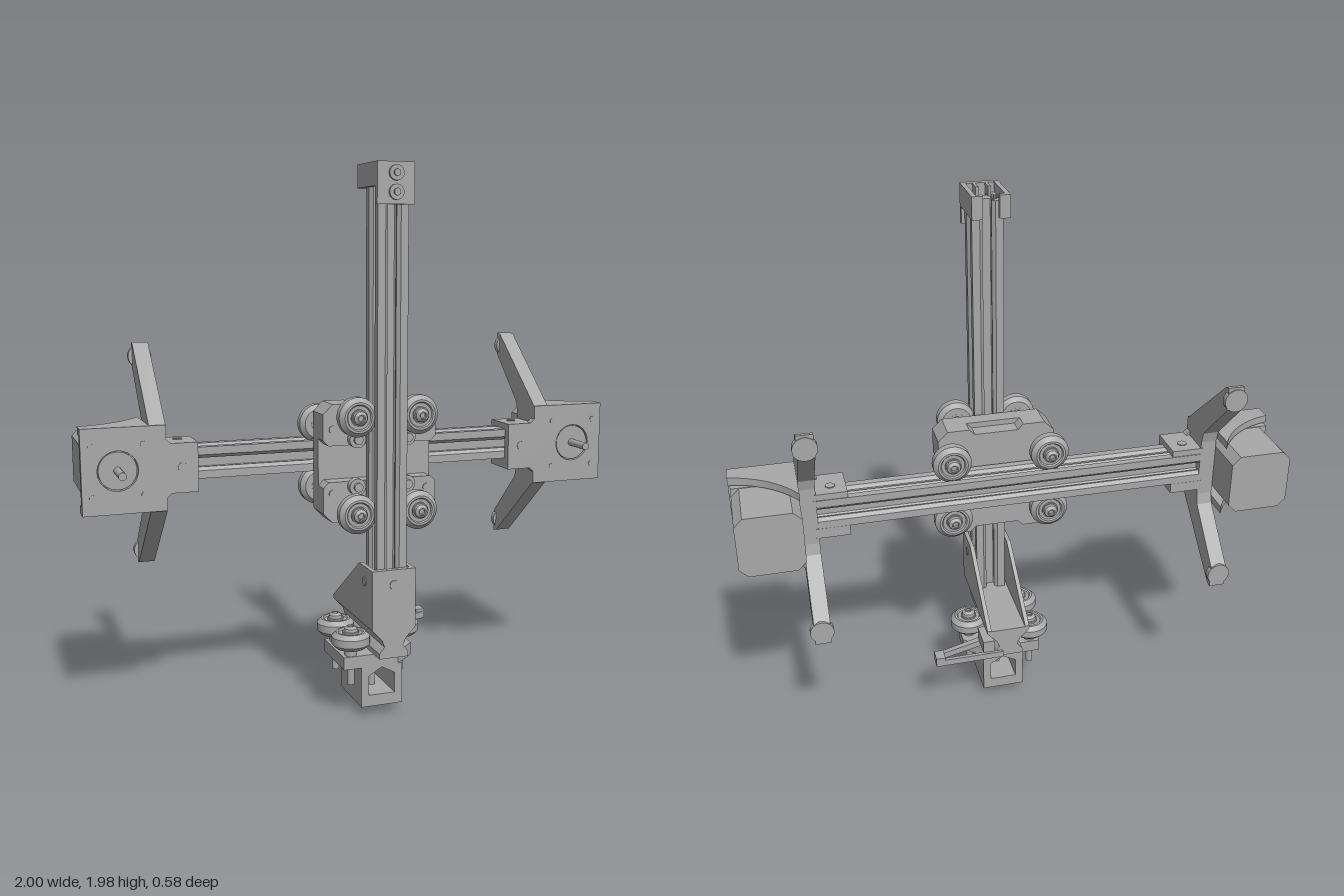
import * as THREE from 'three';
import { toCreasedNormals } from 'three/addons/utils/BufferGeometryUtils.js';

const gray = new THREE.MeshStandardMaterial({ color: 0xa8a8a8 });
gray.name = 'neutral gray';

const CX = 0.037; // centre line of the upright
const BY = 0.955; // height of the cross beam

export function createModel() {
  const root = new THREE.Group();
  root.name = 'crossGantry';

  function add(parent, name, geo, x = 0, y = 0, z = 0) {
    const m = new THREE.Mesh(geo, gray);
    m.name = name;
    m.position.set(x, y, z);
    parent.add(m);
    return m;
  }
  function group(name, parent = root) {
    const g = new THREE.Group();
    g.name = name;
    parent.add(g);
    return g;
  }
  // Box given by its limits
  const box = (p, name, x0, x1, y0, y1, z0, z1) =>
    add(p, name, new THREE.BoxGeometry(x1 - x0, y1 - y0, z1 - z0), (x0 + x1) / 2, (y0 + y1) / 2, (z0 + z1) / 2);
  // Cylinder along an axis, centred
  function rod(p, name, r, len, axis, x, y, z, sides = 24) {
    const g = new THREE.CylinderGeometry(r, r, len, sides);
    if (axis === 'z') g.rotateX(Math.PI / 2);
    return add(p, name, g, x, y, z);
  }
  const poly = pts => new THREE.Shape(pts.map(p => new THREE.Vector2(p[0], p[1])));
  const extrude = (shape, depth) =>
    new THREE.ExtrudeGeometry(shape, { depth, bevelEnabled: false, curveSegments: 12 });
  // Profile of [z, y] points pushed along x from x0 to x1
  function sideExtrude(p, name, pts, x0, x1) {
    const g = extrude(poly(pts.map(([z, y]) => [-z, y])), x1 - x0);
    g.rotateY(Math.PI / 2);
    return add(p, name, g, x0, 0, 0);
  }
  // Shape drawn as [x, -z], pushed up from y0 to y1
  function flatExtrude(p, name, shape, y0, y1) {
    const g = extrude(shape, y1 - y0);
    g.rotateX(-Math.PI / 2);
    return add(p, name, g, 0, y0, 0);
  }

  // Slotted square bar section
  const half = [[-0.056, -0.056], [-0.028, -0.056], [-0.016, -0.045], [-0.016, -0.039],
    [-0.029, -0.039], [-0.029, -0.034], [-0.017, -0.022]];
  const side = [...half, ...half.slice(1).reverse().map(([x, y]) => [-x, y])];
  const bar = [];
  for (let i = 0; i < 4; i++) {
    const c = [1, 0, -1, 0][i], s = [0, 1, 0, -1][i];
    side.forEach(([x, y]) => bar.push([x * c - y * s, x * s + y * c]));
  }
  const upright = extrude(poly(bar), 1.57);
  upright.rotateX(-Math.PI / 2);
  add(root, 'upright', upright, CX, 0.375, 0.195);
  const beam = extrude(poly(bar), 1.42);
  beam.rotateY(Math.PI / 2);
  add(root, 'crossBeam', beam, -0.71, BY, -0.052);

  // Roller with bevelled rim, bolt head on its +axis side and spacer below
  const rim = [[0.012, -0.03], [0.045, -0.03], [0.054, -0.03], [0.07, -0.014], [0.07, 0.014], [0.054, 0.03],
    [0.046, 0.03], [0.042, 0.024], [0.012, 0.024]];
  const rimGeo = toCreasedNormals(new THREE.LatheGeometry(rim.map(p => new THREE.Vector2(...p)), 32), 0.6);
  function wheel(p, name, x, y, z, axis, dir, spacer) {
    const g = group(name, p);
    add(g, 'rim', rimGeo);
    rod(g, 'hub', 0.03, 0.062, 'y', 0, 0, 0);
    add(g, 'boltHead', toCreasedNormals(new THREE.LatheGeometry(
      [[0.026, 0.03], [0.024, 0.042], [0.014, 0.05], [0.01, 0.05], [0.01, 0.04], [0, 0.04]]
        .map(q => new THREE.Vector2(...q)), 20), 0.6));
    rod(g, 'spacer', 0.022, spacer, 'y', 0, -0.03 - spacer / 2, 0);
    if (axis === 'z') g.rotation.x = dir * Math.PI / 2;
    g.position.set(x, y, z);
  }

  // Carriage joining the two bars
  const carriage = group('carriage');
  const W = 0.215, H = 0.213, c = 0.035;
  const plate = poly([[-W + c, -H], [-0.1, -H], [-0.08, -H + 0.02], [0.08, -H + 0.02], [0.1, -H], [W - c, -H],
    [W, -H + c], [W, H - c], [W - c, H], [0.1, H], [0.08, H - 0.02], [-0.08, H - 0.02], [-0.1, H], [-W + c, H],
    [-W, H - c], [-W, -H + c]]);
  add(carriage, 'backPlate', extrude(plate, 0.055), CX + 0.003, 0.943, 0.015);
  for (const s of [-1, 1]) {
    const block = poly([[-W + c, H], [-W, H - c], [-W, 0.085], [-W + 0.02, 0.065], [W - 0.02, 0.065],
      [W, 0.085], [W, H - c], [W - c, H]].map(([x, y]) => [x, y * s]));
    add(carriage, s > 0 ? 'upperBlock' : 'lowerBlock', extrude(block, 0.058), CX + 0.003, 0.943, 0.07);
    for (const t of [-1, 1]) {
      wheel(carriage, 'uprightWheel', CX + 0.003 + t * 0.115, 0.946 + s * 0.172, 0.198, 'z', 1, 0.045);
      wheel(carriage, 'beamWheel', CX + 0.003 + t * 0.18, 0.952 + s * 0.115, -0.05, 'z', -1, 0.04);
      rod(carriage, 'smallBolt', 0.03, 0.03, 'z', CX + 0.003 + t * 0.095, 0.945 + s * 0.085, 0.14);
      rod(carriage, 'smallBoltCap', 0.016, 0.02, 'z', CX + 0.003 + t * 0.095, 0.945 + s * 0.085, 0.158);
      rod(carriage, 'axleEnd', 0.014, 0.008, 'z', CX + 0.003 + t * 0.18, 0.952 + s * 0.115, 0.128);
    }
  }
  rod(carriage, 'centreBolt', 0.012, 0.08, 'z', CX, 0.943, 0.105);

  // Cap at the top of the upright
  const cap = group('topCap');
  box(cap, 'capFront', -0.03, 0.105, 1.84, 1.98, 0.25, 0.272);
  for (const s of [-1, 1]) {
    const x = 0.0375 + s * 0.059;
    box(cap, 'capArm', x - 0.0085, x + 0.0085, 1.9, 1.98, 0.08, 0.25);
    const r = 0.0375 + s * 0.022;
    box(cap, 'capRib', r - 0.005, r + 0.005, 1.9, 1.98, 0.2, 0.25);
    box(cap, 'capLip', Math.min(x, x - s * 0.03), Math.max(x, x - s * 0.03), 1.9, 1.98, 0.08, 0.1);
  }
  for (const y of [1.88, 1.943]) {
    rod(cap, 'capScrew', 0.026, 0.012, 'z', CX, y, 0.277);
    rod(cap, 'capScrewTop', 0.013, 0.008, 'z', CX, y, 0.285, 6);
  }

  // Motor mounts, mirrored on both ends of the beam
  for (const s of [-1, 1]) {
    const m = group(s > 0 ? 'leftMotorMount' : 'rightMotorMount');
    const xr = (name, a, b, ...r) => box(m, name, Math.min(s * a, s * b), Math.max(s * a, s * b), ...r);
    const front = poly([[0.6, 0.86], [0.695, 0.86], [0.71, 0.845], [0.71, 0.8], [1, 0.8], [1, 1.1], [0.71, 1.1],
      [0.71, 1.05], [0.695, 1.035], [0.6, 1.035]].map(([x, y]) => [s * x, y]));
    const ringHole = new THREE.Path();
    ringHole.absarc(s * 0.877, 0.95, 0.07, 0, Math.PI * 2);
    front.holes.push(ringHole);
    add(m, 'facePlate', extrude(front, 0.03), 0, 0, 0.006);
    rod(m, 'motorBoss', 0.066, 0.04, 'z', s * 0.877, 0.95, 0.012, 32);
    rod(m, 'motorShaft', 0.014, 0.13, 'z', s * 0.877, 0.95, 0.075, 16);
    for (const a of [-1, 1]) for (const b of [-1, 1])
      rod(m, 'mountScrew', 0.011, 0.005, 'z', s * (0.877 + a * 0.088), 0.95 + b * 0.088, 0.036, 12);
    rod(m, 'beamScrew', 0.017, 0.005, 'z', s * 0.655, BY - 0.005, 0.036, 16);
    xr('topTab', 0.6, 0.72, 1.012, 1.035, -0.107, 0.01);
    xr('bottomTab', 0.6, 0.72, 0.86, 0.898, -0.107, 0.01);
    for (const y of [1.036, 0.859]) rod(m, 'tabScrew', 0.017, 0.005, 'y', s * 0.655, y, -0.053, 16);

    // Spread support arms in one profile
    const up = [[0.03, 1.1], [-0.265, 1.355], [-0.288, 1.36], [-0.288, 1.275], [-0.115, 1.1], [-0.105, 1.06]];
    const arms = [...up, ...up.map(([z, y]) => [z, 1.9 - y]).reverse()];
    sideExtrude(m, 'supportArms', arms, s > 0 ? 0.71 : -0.768, s > 0 ? 0.768 : -0.71);
    for (const y of [1.31, 0.59]) rod(m, 'armFoot', 0.042, 0.022, 'z', s * 0.741, y, -0.281);

    // Motor body with cut corners
    const a = 0.113, k = 0.03;
    const body = poly([[-a + k, -a], [a - k, -a], [a, -a + k], [a, a - k], [a - k, a], [-a + k, a],
      [-a, a - k], [-a, -a + k]]);
    add(m, 'motorBody', extrude(body, 0.26), s * 0.881, 0.952, -0.26);
    box(m, 'motorFlange', s * 0.881 - 0.112, s * 0.881 + 0.112, 0.837, 1.067, -0.05, 0.006);

    // Curved flanges above and below the motor
    const fl = new THREE.Shape();
    fl.moveTo(s * 0.768, -0.03);
    fl.lineTo(s * 1, -0.03);
    fl.lineTo(s * 1, 0.03);
    fl.bezierCurveTo(s * 0.93, 0.04, s * 0.83, 0.09, s * 0.768, 0.2);
    flatExtrude(m, 'upperFlange', fl, 1.072, 1.1);
    flatExtrude(m, 'lowerFlange', fl, 0.8, 0.828);
  }

  // Foot bracket: front wall, two gussets and a grooved rail below
  const foot = group('footBracket');
  box(foot, 'frontWall', -0.045, 0.119, 0.37, 0.58, 0.254, 0.275);
  const gusset = [[0.254, 0.58], [0.14, 0.58], [-0.15, 0.378], [-0.15, 0.37], [0.254, 0.37]];
  sideExtrude(foot, 'gusset', gusset, -0.045, -0.029);
  sideExtrude(foot, 'gusset', gusset, 0.103, 0.119);
  const railHalf = [[0.082, 0.375], [0.082, 0.365], [0.045, 0.325], [0.035, 0.3], [0.055, 0.276], [0.055, 0.257]];
  const rail = [...railHalf, ...railHalf.map(([x, y]) => [-x, y]).reverse()];
  add(foot, 'grooveRail', extrude(poly(rail), 0.425), CX, 0, -0.15);
  rod(foot, 'wallScrew', 0.017, 0.005, 'z', CX, 0.525, 0.276, 16);
  const gussetScrew = rod(foot, 'gussetScrew', 0.017, 0.17, 'y', CX, 0.525, 0.195, 16);
  gussetScrew.rotation.z = Math.PI / 2;

  // Open trigger arm at the back of the rail
  const arm = poly([[0.06, 0.16], [0.06, 0.04], [0.12, 0.045], [0.32, 0.11], [0.32, 0.16]]);
  arm.holes.push(poly([[0.12, 0.146], [0.29, 0.146], [0.29, 0.118], [0.12, 0.07]]));
  flatExtrude(foot, 'triggerArm', arm, 0.257, 0.282);
  box(foot, 'triggerTip', 0.285, 0.32, 0.28, 0.293, -0.16, -0.11);
  box(foot, 'triggerBlock', 0.09, 0.135, 0.28, 0.33, -0.15, -0.05);

  // Sliding holder on three rollers
  const holder = group('slidingHolder');
  const deck = poly([[-0.11, 0.065], [-0.11, -0.16], [0.1, -0.16], [0.182, -0.085], [0.182, -0.01], [0.1, 0.065]]);
  flatExtrude(holder, 'deck', deck, 0.188, 0.235);
  for (const [x, z] of [[-0.076, 0.135], [-0.076, -0.035], [0.15, 0.05]]) {
    wheel(holder, 'railWheel', x, 0.295, z, 'y', 1, 0.032);
    rod(holder, 'axleBolt', 0.014, 0.07, 'y', x, 0.16, z, 12);
  }
  const frame = poly([[-0.08, 0.037], [0.08, 0.037], [0.08, 0.19], [-0.08, 0.19]]);
  frame.holes.push(poly([[-0.05, 0.08], [0.05, 0.08], [0.05, 0.155], [0, 0.183], [-0.05, 0.155]]));
  add(holder, 'holderFrame', extrude(frame, 0.225), CX, 0, -0.065);
  rod(holder, 'clampBolt', 0.013, 0.13, 'y', CX, 0.08, 0.05, 12);
  rod(holder, 'clampBoltHead', 0.024, 0.037, 'y', CX, 0.0185, 0.05, 20);

  return root;
}
